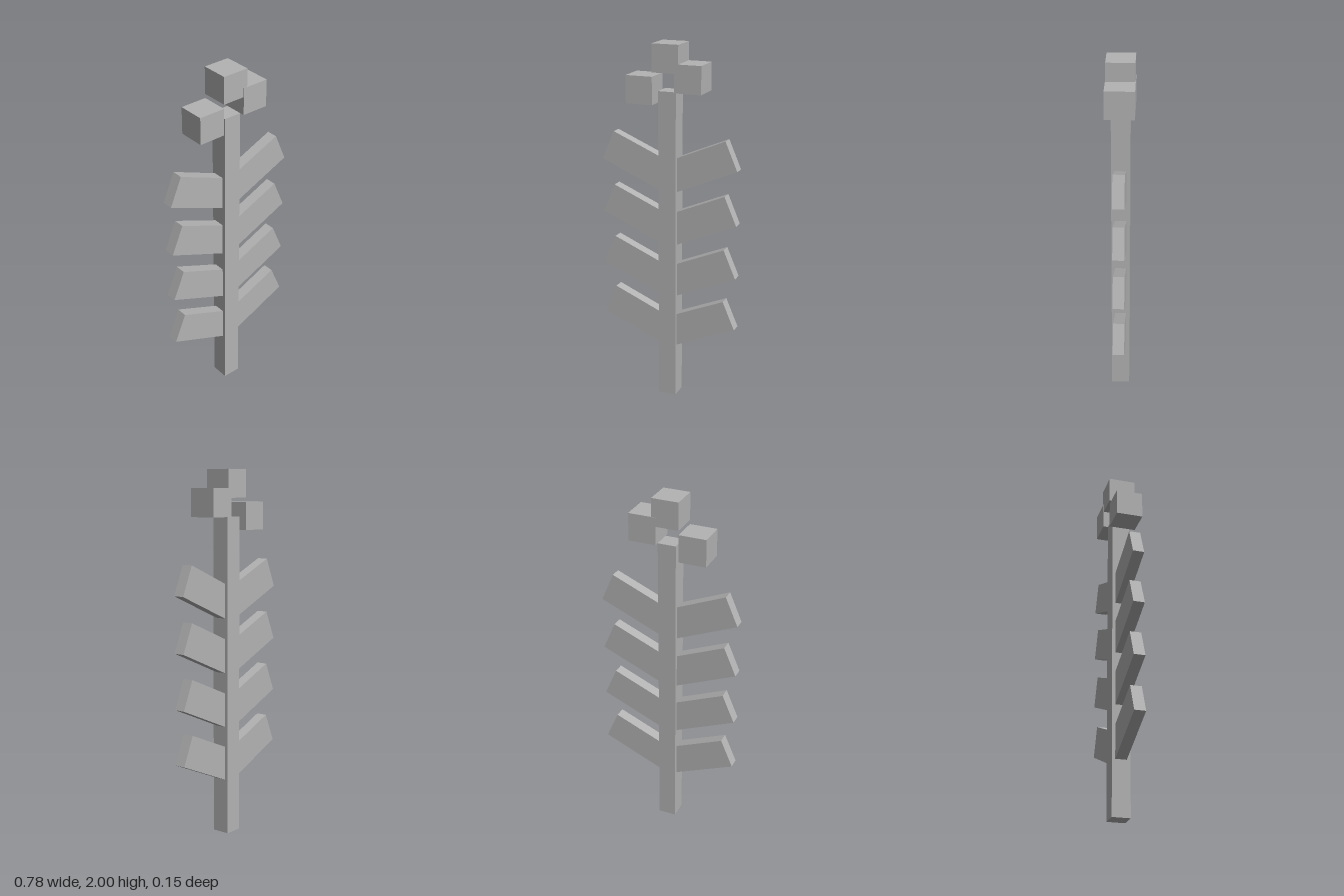
import * as THREE from 'three';

const grey = new THREE.MeshStandardMaterial({ color: 0xb3b3b3 });
grey.name = 'plain grey';

export function createModel() {
  const model = new THREE.Group();
  model.name = 'flowerStalk';

  const addBox = (name, w, h, d, x, y) => {
    const mesh = new THREE.Mesh(new THREE.BoxGeometry(w, h, d), grey);
    mesh.name = name;
    mesh.position.set(x, y, 0);
    model.add(mesh);
  };

  // Square stem
  addBox('stem', 0.1, 1.75, 0.1, 0, 0.875);

  // Three blossom cubes around the tip
  addBox('topBlossom', 0.148, 0.15, 0.15, -0.001, 1.925);
  addBox('leftBlossom', 0.15, 0.15, 0.154, 0.125, 1.825);
  addBox('rightBlossom', 0.15, 0.15, 0.148, -0.15, 1.752);

  // Leaf slab rising outwards, cut flush with the stem; mirrored for each side
  const leafGeometry = (side) => {
    const outline = [[0.05, 0], [0.388, 0.145], [0.32, 0.303], [0.05, 0.188]]
      .map(([x, y]) => new THREE.Vector2(side * x, y));
    return new THREE.ExtrudeGeometry(new THREE.Shape(outline), { depth: 0.062, bevelEnabled: false })
      .translate(0, 0, -0.032);
  };

  // Four pairs of leaves
  for (const side of [1, -1]) {
    const geometry = leafGeometry(side);
    for (let i = 0; i < 4; i++) {
      const leaf = new THREE.Mesh(geometry, grey);
      leaf.name = (side > 0 ? 'leftLeaf' : 'rightLeaf') + (i + 1);
      leaf.position.y = 0.306 + i * 0.3;
      model.add(leaf);
    }
  }
  return model;
}
